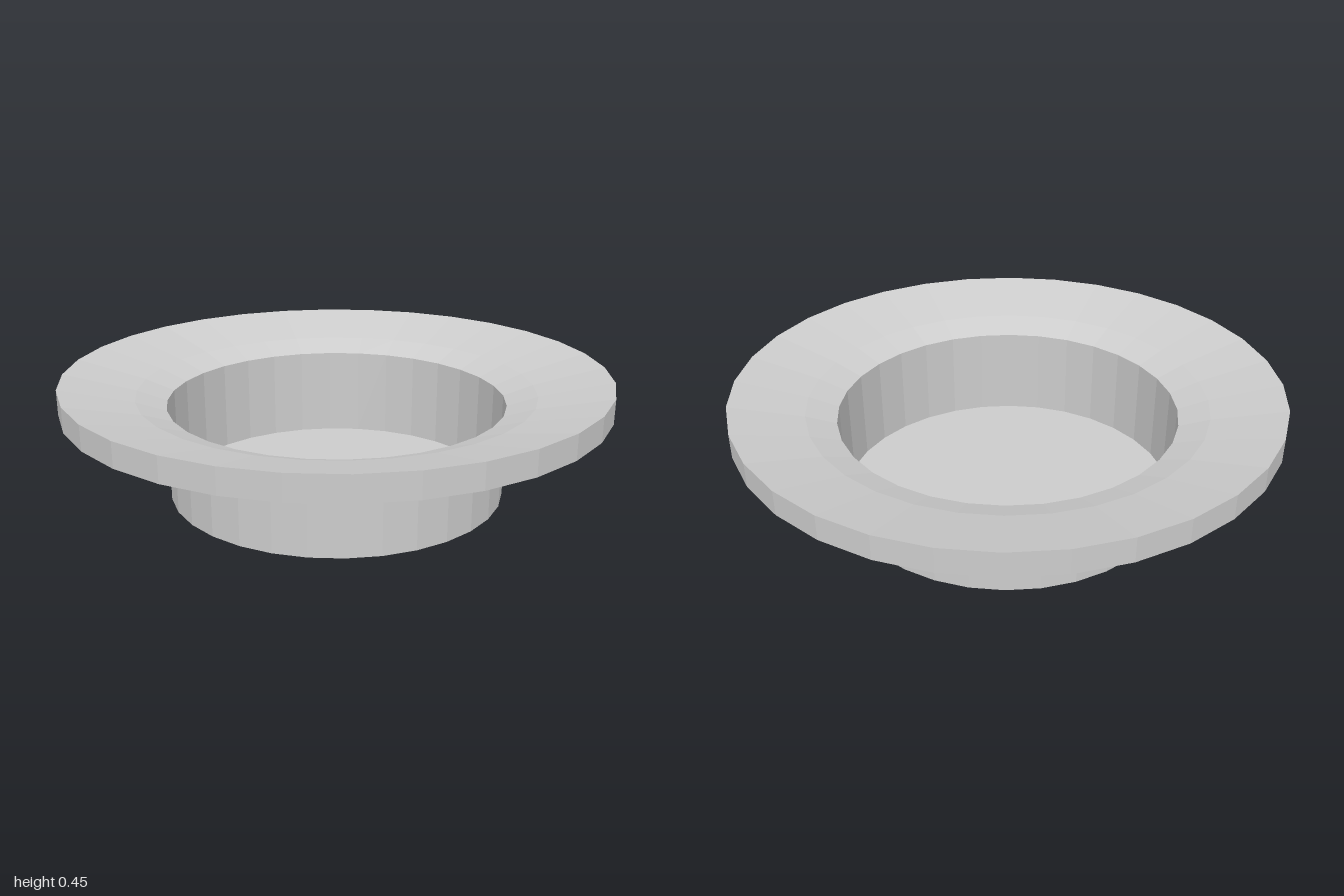
import * as THREE from 'three';

const SIDES = 32;

export function createModel() {
  const model = new THREE.Group();
  model.name = 'flangedCup';

  const grey = new THREE.MeshStandardMaterial({
    color: 0xcccccc, flatShading: true, side: THREE.DoubleSide,
  });
  grey.name = 'light grey';

  // Thin turned shell from [radius, height] pairs
  const turned = (name, profile) => {
    const points = profile.map(([r, y]) => new THREE.Vector2(r, y));
    const mesh = new THREE.Mesh(new THREE.LatheGeometry(points, SIDES), grey);
    mesh.name = name;
    model.add(mesh);
  };

  turned('cupWall', [[0.625, 0], [0.625, 0.345]]);
  turned('innerBevel', [[0.625, 0.345], [0.735, 0.385]]);
  turned('flange', [[0.735, 0.385], [1, 0.45]]);
  turned('rimSkirt', [[1, 0.36], [1, 0.45]]);

  // Closed bottom, seen from inside and below
  const floor = new THREE.Mesh(new THREE.CircleGeometry(0.625, SIDES), grey);
  floor.name = 'cupFloor';
  floor.rotation.x = Math.PI / 2;
  model.add(floor);

  return model;
}
